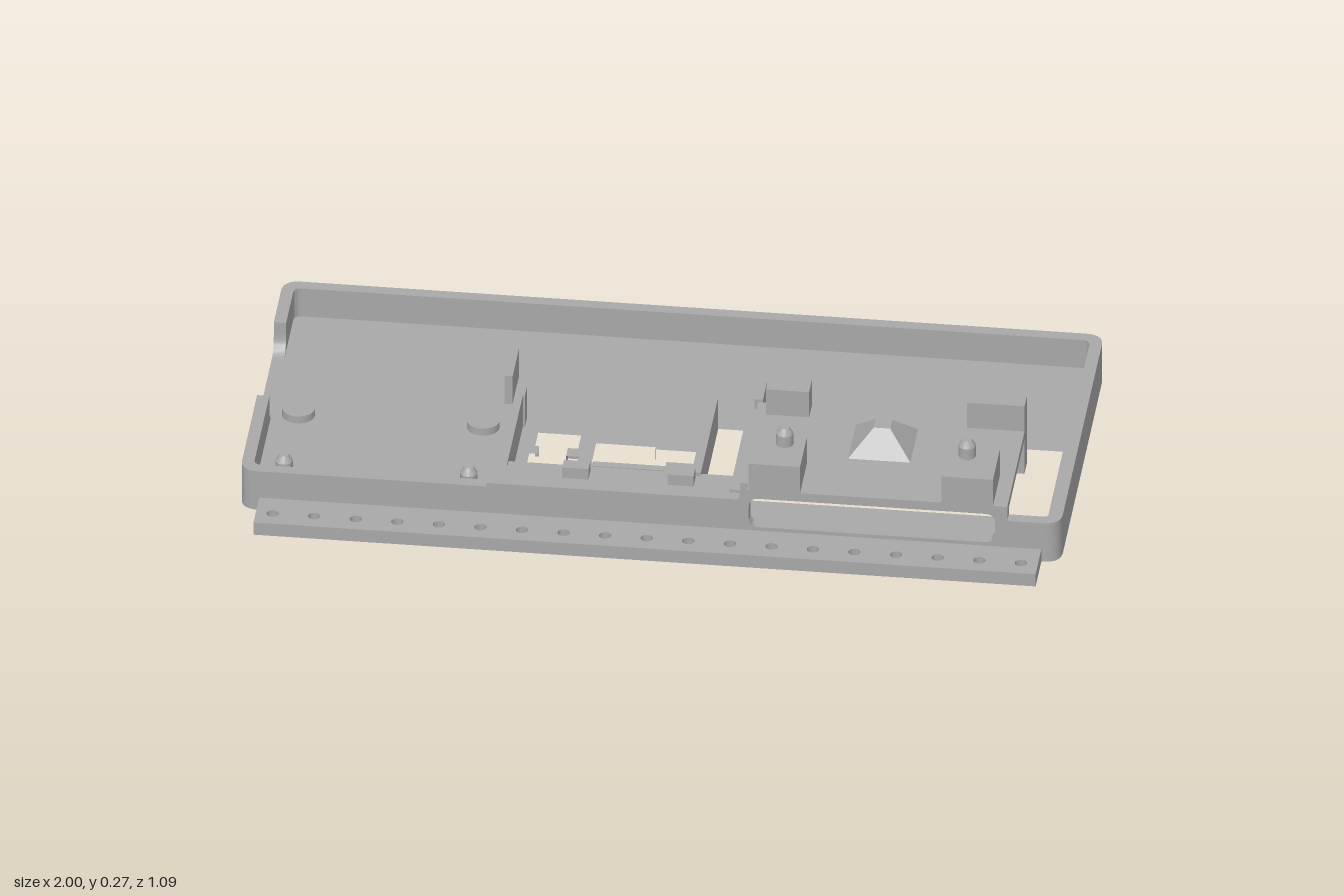
import * as THREE from 'three';
import { toCreasedNormals } from 'three/addons/utils/BufferGeometryUtils.js';

export function createModel() {
  const model = new THREE.Group();
  model.name = 'equipmentTray';
  const grey = new THREE.MeshStandardMaterial({ color: 0xa8a8a8 });
  grey.name = 'plain grey';

  const add = (name, geo) => {
    const mesh = new THREE.Mesh(geo, grey);
    mesh.name = name;
    model.add(mesh);
    return mesh;
  };
  // Box from its limits on each axis
  const box = (name, x0, x1, y0, y1, z0, z1) => add(name,
    new THREE.BoxGeometry(x1 - x0, y1 - y0, z1 - z0)
      .translate((x0 + x1) / 2, (y0 + y1) / 2, (z0 + z1) / 2));
  const cyl = (name, x, z, r0, r1, y0, y1, n = 24) => add(name, toCreasedNormals(
    new THREE.CylinderGeometry(r1, r0, y1 - y0, n).translate(x, (y0 + y1) / 2, z), 0.5));

  // Outline whose points are [a, b, cornerRadius]
  const outline = (pts, Type = THREE.Shape) => {
    const path = new Type();
    pts.forEach(([a, b, r = 0], i) => {
      const p = new THREE.Vector2(a, b);
      const toward = (q) => new THREE.Vector2(q[0], q[1]).sub(p).setLength(r).add(p);
      const s = toward(pts[(i + pts.length - 1) % pts.length]);
      const e = toward(pts[(i + 1) % pts.length]);
      if (i === 0) path.moveTo(s.x, s.y); else path.lineTo(s.x, s.y);
      if (r) path.quadraticCurveTo(p.x, p.y, e.x, e.y);
    });
    path.closePath();
    return path;
  };
  const rect = (a0, a1, b0, b1, r = 0) => [[a0, b0, r], [a1, b0, r], [a1, b1, r], [a0, b1, r]];
  const extrude = (shape, depth) => toCreasedNormals(
    new THREE.ExtrudeGeometry(shape, { depth, bevelEnabled: false, curveSegments: 8 }), 0.5);
  // Plan outlines are given as x, z and raised from y0 to y1
  const flip = (pts) => pts.map(([x, z, r]) => [x, -z, r]);
  const plan = (name, pts, y0, y1, holes = []) => {
    const shape = outline(flip(pts));
    shape.holes = holes;
    return add(name, extrude(shape, y1 - y0).rotateX(-Math.PI / 2).translate(0, y0, 0));
  };

  // Floor with the equipment cut-outs
  const cutouts = [
    [[0.11, -0.02], [0.24, -0.02], [0.24, -0.07, 0.03], [0.84, -0.07, 0.03], [0.84, -0.02],
      [0.95, -0.02], [0.95, 0.29], [0.11, 0.29]],
    [[-0.32, 0.05], [-0.215, 0.05], [-0.215, 0.11], [-0.24, 0.11], [-0.24, 0.145], [-0.21, 0.145],
      [-0.21, 0.215], [-0.27, 0.215], [-0.27, 0.225], [-0.33, 0.225], [-0.33, 0.145], [-0.31, 0.145],
      [-0.31, 0.11], [-0.32, 0.11]],
    [[-0.175, 0.08], [-0.03, 0.08], [-0.03, 0.09], [0.07, 0.09], [0.07, 0.18], [-0.03, 0.18],
      [-0.03, 0.17], [-0.175, 0.17]],
    [[-0.17, 0.215], [0.01, 0.215], [0.01, 0.28], [-0.08, 0.28], [-0.08, 0.29], [-0.17, 0.29]],
  ].map((pts) => outline(flip(pts), THREE.Path));
  plan('floor', rect(-1, 1, -0.43, 0.43, 0.045), 0, 0.03, cutouts);

  // Rim walls, open at the left end
  plan('backAndRightWall', [[-1, -0.24], [-1, -0.43, 0.045], [1, -0.43, 0.045], [1, 0.43, 0.045],
    [0.87, 0.43], [0.87, 0.4], [0.97, 0.4, 0.02], [0.97, -0.4, 0.02], [-0.97, -0.4, 0.02],
    [-0.97, -0.24]], 0, 0.11);
  plan('frontLeftWall', [[-1, 0.09], [-1, 0.43, 0.045], [-0.4, 0.43], [-0.4, 0.4],
    [-0.97, 0.4, 0.02], [-0.97, 0.09]], 0, 0.11);
  for (const [z, s] of [[-0.24, 1], [0.09, -1]]) {
    const fillet = new THREE.Shape();
    fillet.moveTo(0, 0.03);
    fillet.lineTo(0.04 * s, 0.03);
    fillet.quadraticCurveTo(0, 0.03, 0, 0.08);
    add('openingFillet', extrude(fillet, 0.03).rotateY(-Math.PI / 2).translate(-0.97, 0, z));
  }

  // Front panel, stepped up to the platform, with a long slot
  const panel = outline([[-0.4, 0], [0.87, 0], [0.87, 0.15], [0.235, 0.15], [0.215, 0.12], [-0.4, 0.12]]);
  panel.holes.push(outline(rect(0.24, 0.84, 0.045, 0.126, 0.025), THREE.Path));
  add('frontPanel', extrude(panel, 0.03).translate(0, 0, 0.4));

  // Perforated mounting flanges
  for (const s of [-1, 1]) {
    const holes = [];
    for (let i = 0; i < 19; i++) {
      holes.push(new THREE.Path().absarc(-0.912 + i * 0.1013, -0.497 * s, 0.015, 0, Math.PI * 2));
    }
    const [z0, z1] = s > 0 ? [0.43, 0.543] : [-0.543, -0.43];
    plan('flange', rect(-0.953, 0.953, z0, z1), 0, 0.035, holes);
  }

  // Round bosses, the front pair carrying pins
  const pin = (x, z, y) => {
    cyl('pinShaft', x, z, 0.021, 0.021, y, y + 0.03);
    cyl('pinTip', x, z, 0.021, 0.011, y + 0.03, y + 0.047);
  };
  for (const x of [-0.905, -0.455]) {
    for (const z of [0.04, 0.325]) cyl('boss', x, z, 0.04, 0.04, 0.03, 0.05);
    pin(x, 0.325, 0.05);
  }

  // Middle compartment with its ledge and partitions
  box('frontLedge', -0.36, 0.215, 0.03, 0.12, 0.345, 0.4);
  box('compartmentFrontWall', -0.36, 0.19, 0.03, 0.11, 0.31, 0.345);
  box('compartmentLeftWall', -0.38, -0.36, 0.03, 0.12, -0.015, 0.4);
  box('compartmentRightWall', 0.09, 0.11, 0.03, 0.12, -0.015, 0.32);
  box('leftWallEnd', -0.38, -0.355, 0.03, 0.12, -0.015, 0.03);
  box('leftPartition', -0.417, -0.397, 0.03, 0.11, -0.2, -0.07);
  box('rightPartition', 0.192, 0.213, 0.03, 0.09, -0.15, -0.07);
  box('leftPad', -0.34, -0.27, 0.03, 0.045, 0.23, 0.31);
  box('rightPad', 0.01, 0.09, 0.03, 0.06, 0.19, 0.31);
  box('crossRib', -0.17, 0.07, 0.03, 0.045, 0.185, 0.205);
  cyl('leftStud', -0.305, 0.26, 0.014, 0.014, 0.045, 0.055, 4);
  cyl('rightStud', 0.035, 0.26, 0.014, 0.014, 0.06, 0.07, 4);
  for (const x of [-0.188, 0.068]) box('ledgeTab', x - 0.032, x + 0.032, 0.12, 0.15, 0.35, 0.385);

  // Raised platform with supports
  box('platform', 0.215, 0.87, 0.128, 0.15, 0.035, 0.402);
  box('platformLeftWall', 0.19, 0.215, 0.03, 0.12, 0.035, 0.4);
  box('platformLeftEdge', 0.19, 0.235, 0.1, 0.128, 0.035, 0.4);
  box('platformRightLeg', 0.84, 0.87, 0.03, 0.13, 0.035, 0.09);
  for (const [x0, x1, t0, t1] of [[0.24, 0.345, 0.255, 0.35], [0.73, 0.87, 0.73, 0.82]]) {
    box('rearBlock', x0, x1, 0.11, 0.222, 0.035, 0.088);
    box('rearTab', t0, t1, 0.08, 0.11, -0.012, 0.088);
  }
  for (const [x0, x1, px] of [[0.24, 0.365, 0.315], [0.71, 0.835, 0.76]]) {
    box('pinBlock', x0, x1, 0.15, 0.225, 0.292, 0.43);
    pin(px, 0.328, 0.225);
  }
  box('blockNub', 0.24, 0.268, 0.15, 0.19, 0.275, 0.292);

  // Truncated pyramid on the platform
  const pyramid = new THREE.CylinderGeometry(0.02 * Math.SQRT2, 0.076 * Math.SQRT2, 0.058, 4, 1)
    .rotateY(Math.PI / 4).translate(0.537, 0.179, 0.185);
  add('pyramid', toCreasedNormals(pyramid, 0.3));

  return model;
}
